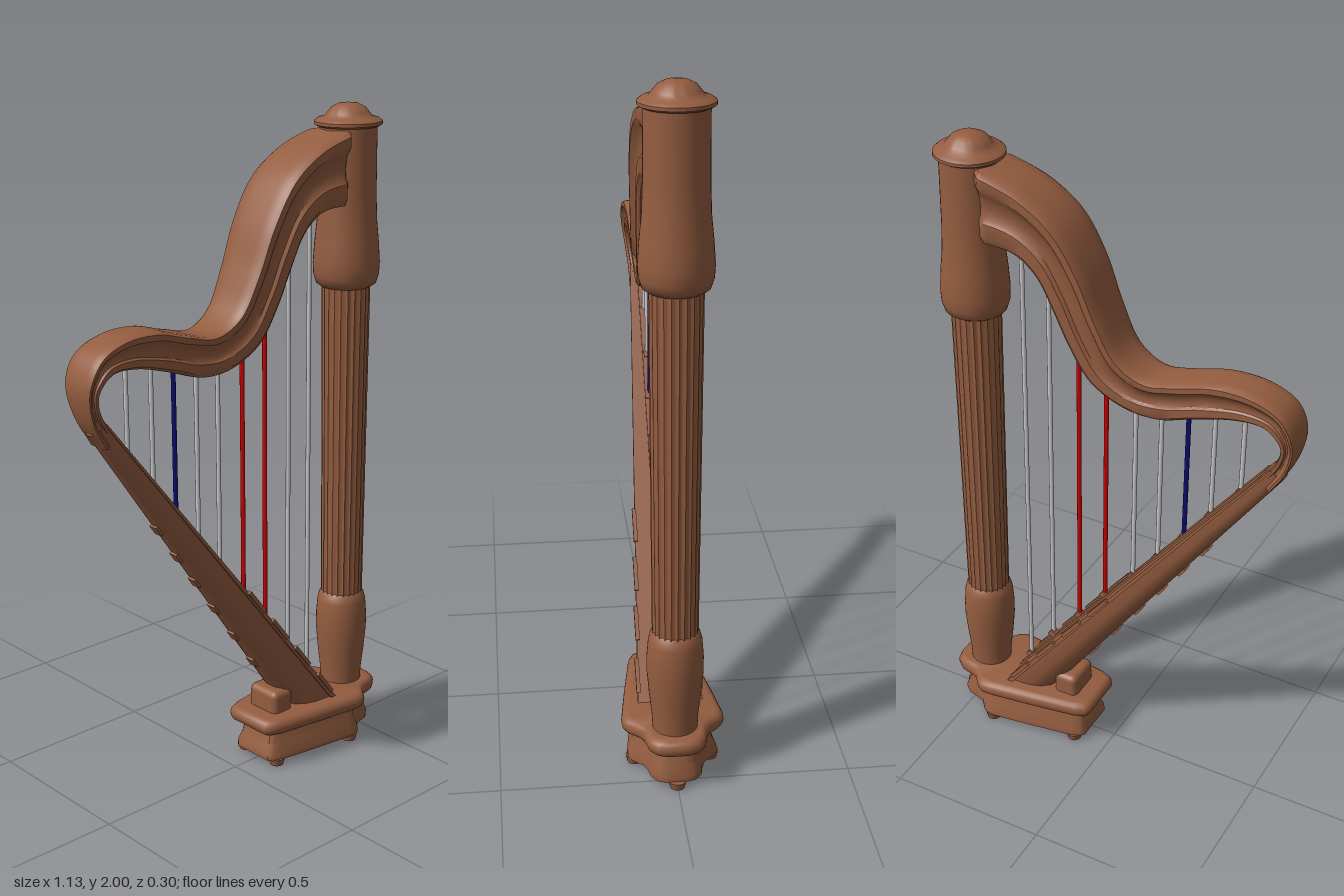
import * as THREE from 'three';
import { toCreasedNormals } from 'three/addons/utils/BufferGeometryUtils.js';
import { RoundedBoxGeometry } from 'three/addons/geometries/RoundedBoxGeometry.js';

const V = (x, y, z = 0) => new THREE.Vector3(x, y, z);
const { smoothstep } = THREE.MathUtils;
const mat = (name, color) => {
  const m = new THREE.MeshStandardMaterial({ color });
  m.name = name;
  return m;
};

// Closed skin over equal-sized rings of points, capped at both ends
function loft(rings, crease = 0.6) {
  const n = rings[0].length, pts = rings.flat(), idx = [];
  for (let r = 0; r < rings.length - 1; r++) {
    for (let i = 0; i < n; i++) {
      const a = r * n + i, b = r * n + (i + 1) % n;
      idx.push(a, b, b + n, a, b + n, a + n);
    }
  }
  [0, rings.length - 1].forEach((r, end) => {
    const c = rings[r].reduce((s, p) => s.add(p), V(0, 0)).divideScalar(n);
    pts.push(c);
    for (let i = 0; i < n; i++) {
      const a = r * n + i, b = r * n + (i + 1) % n;
      idx.push(pts.length - 1, ...(end ? [a, b] : [b, a]));
    }
  });
  // Turn all faces outward
  let volume = 0;
  for (let i = 0; i < idx.length; i += 3) {
    volume += pts[idx[i]].dot(pts[idx[i + 1]].clone().cross(pts[idx[i + 2]]));
  }
  if (volume < 0) idx.reverse();
  const g = new THREE.BufferGeometry().setFromPoints(pts);
  g.setIndex(idx);
  return toCreasedNormals(g, crease);
}

// Ring from a half profile [t, w]: t runs from point a to point b, w scales the half depth
function sideRing(a, b, half, profile) {
  const side = (s) => profile.map(([t, w]) => a.clone().lerp(b, t).setZ(s * w * half));
  return [...side(1), ...side(-1).reverse()];
}

export function createModel() {
  const harp = new THREE.Group();
  harp.name = 'harp';
  const wood = mat('wood', 0x945d40);
  const gut = mat('plain string', 0xcccccc);
  const red = mat('red string', 0xcc0000);
  const blue = mat('blue string', 0x0c0c72);
  const add = (name, geometry, material = wood, parent = harp) => {
    const m = new THREE.Mesh(geometry, material);
    m.name = name;
    parent.add(m);
    return m;
  };

  // Base: one plan outline, scaled up the height
  const half = [[0.05, 0.075], [0.06, 0.09], [0.09, 0.102], [0.25, 0.128], [0.39, 0.148], [0.415, 0.147],
    [0.435, 0.135], [0.465, 0.1], [0.49, 0.09], [0.53, 0.081], [0.555, 0.06], [0.564, 0.03]];
  const plan = [...half, ...half.map(([x, z]) => [x, -z]).reverse()];
  const planRing = ([y, sx, sz]) => plan.map(([x, z]) => V(0.312 + (x - 0.312) * sx, y, z * sz));
  add('basePlinth', loft([[0.02, 0.91, 0.88], [0.035, 0.91, 0.88], [0.07, 0.86, 0.78],
    [0.115, 0.82, 0.73]].map(planRing)));
  const rim = [];
  for (let i = 0; i <= 8; i++) {
    const a = -Math.PI / 2 + Math.PI * i / 8, s = Math.cos(a);
    rim.push([0.137 + 0.026 * Math.sin(a), 0.91 + 0.09 * s, 0.83 + 0.17 * s]);
  }
  add('baseRim', loft(rim.map(planRing), 0.8));
  for (const [x, z] of [[0.11, 0.07], [0.11, -0.07], [0.393, 0.11], [0.393, -0.11], [0.532, 0]]) {
    add('foot', new THREE.CylinderGeometry(0.026, 0.021, 0.022, 16)).position.set(x, 0.011, z);
  }
  add('baseBlock', new RoundedBoxGeometry(0.08, 0.09, 0.12, 3, 0.02)).position.set(0.15, 0.187, 0);

  // Pillar, leaning slightly toward the strings
  const pillar = new THREE.Group();
  pillar.name = 'pillar';
  pillar.position.set(0.464, 0, 0);
  pillar.rotation.z = 0.0105;
  harp.add(pillar);
  const turned = (name, pts) => add(name, toCreasedNormals(
    new THREE.LatheGeometry(pts.map(([r, y]) => new THREE.Vector2(r, y)), 40), 0.8), wood, pillar);
  turned('pillarFoot', [[0, 0.15], [0.064, 0.15], [0.066, 0.2], [0.074, 0.27], [0.08, 0.34], [0.08, 0.39],
    [0.076, 0.44], [0.071, 0.46], [0.062, 0.472], [0, 0.475]]);
  turned('pillarHead', [[0, 1.46], [0.075, 1.46], [0.09, 1.47], [0.098, 1.495], [0.1, 1.53], [0.096, 1.59],
    [0.089, 1.66], [0.086, 1.74], [0.085, 1.94], [0, 1.94]]);
  turned('pillarCap', [[0, 1.932], [0.09, 1.932], [0.1, 1.938], [0.1, 1.947], [0.09, 1.955], [0.071, 1.96],
    [0.063, 1.97], [0.05, 1.986], [0.03, 1.996], [0, 2.0]]);
  // Fluted shaft
  const flutes = 22, steps = 6, shaft = [];
  for (const [y, r] of [[0.45, 0.065], [1.48, 0.073]]) {
    shaft.push(Array.from({ length: flutes * steps }, (_, i) => {
      const a = i / (flutes * steps) * Math.PI * 2;
      const q = r - 0.004 * Math.abs(Math.sin(a * flutes / 2));
      return V(q * Math.cos(a), y, q * Math.sin(a));
    }));
  }
  add('pillarShaft', loft(shaft), wood, pillar);

  // Neck: moulded section swept between an outer and an inner edge
  const edge = (pts) => new THREE.CatmullRomCurve3(pts.map(([x, y]) => V(x, y)));
  const outer = edge([[0.4, 1.932], [0.34, 1.92], [0.24, 1.885], [0.14, 1.815], [0.065, 1.7], [0.01, 1.565],
    [-0.05, 1.455], [-0.13, 1.412], [-0.23, 1.43], [-0.34, 1.457], [-0.45, 1.45], [-0.53, 1.41],
    [-0.565, 1.335], [-0.548, 1.24], [-0.5, 1.155]]);
  const inner = edge([[0.4, 1.707], [0.34, 1.71], [0.27, 1.7], [0.205, 1.65], [0.155, 1.555], [0.11, 1.455],
    [0.045, 1.355], [-0.06, 1.3], [-0.16, 1.293], [-0.27, 1.327], [-0.4, 1.362], [-0.48, 1.36],
    [-0.522, 1.315], [-0.51, 1.255], [-0.46, 1.185]]);
  const moulding = [[0, 0.5], [0.015, 0.85], [0.06, 1], [0.2, 1], [0.27, 0.9], [0.36, 0.79], [0.5, 0.73],
    [0.62, 0.76], [0.68, 0.86], [0.9, 0.86], [0.98, 0.75], [1, 0.4]];
  const neck = [];
  for (let i = 0; i <= 84; i++) {
    const u = i / 84;
    const depth = 0.09 - 0.03 * smoothstep(u, 0.2, 0.62) - 0.023 * smoothstep(u, 0.8, 0.98)
      - 0.03 * (1 - smoothstep(u, 0, 0.05));
    neck.push(sideRing(outer.getPoint(u), inner.getPoint(u), depth, moulding));
  }
  add('neck', loft(neck));

  // Soundbox: tapering body with a rounded back, under a wider board
  const topA = V(-0.495, 1.228), topB = V(-0.531, 1.196), botA = V(0.355, 0.15), botB = V(0.205, 0.15);
  const halfDepth = (u) => 0.035 + 0.06 * u;
  const bar = (profile) => loft([0, 1].map((u) => sideRing(
    topA.clone().lerp(botA, u), topB.clone().lerp(botB, u), halfDepth(u), profile)), 0.7);
  add('soundbox', bar([[0.1, 0.5], [0.1, 0.9], [0.5, 0.85], [0.75, 0.72], [0.92, 0.5], [1, 0.2]]));
  add('soundboard', bar([[0, 0.5], [0, 1], [0.13, 1], [0.13, 0.5]]));
  const tilt = Math.atan2(botA.y - topA.y, botA.x - topA.x);
  const backTilt = Math.atan2(botB.y - topB.y, botB.x - topB.x);
  const strip = add('stringStrip', new THREE.BoxGeometry(1.32, 0.012, 0.03));
  strip.position.copy(topA).lerp(botA, 0.5);
  strip.rotation.z = tilt;

  // Strings with their pegs, edge blocks and back plates: top x, top y, bottom y
  const strings = [[-0.403, 1.38, 1.105], [-0.315, 1.36, 0.995], [-0.234, 1.33, 0.89], [-0.151, 1.31, 0.785],
    [-0.07, 1.32, 0.685], [0.024, 1.37, 0.575], [0.112, 1.48, 0.46], [0.206, 1.68, 0.345], [0.29, 1.72, 0.225]];
  strings.forEach(([x, y0, y1], i) => {
    const top = V(x, y0), foot = V(x + 0.011 * (y0 - y1), y1);
    const colour = i === 2 ? blue : i === 5 || i === 6 ? red : gut;
    add('string', new THREE.TubeGeometry(new THREE.LineCurve3(top, foot), 1, 0.007, 10), colour);
    const peg = add('stringPeg', new THREE.BoxGeometry(0.022, 0.022, 0.022));
    peg.position.copy(foot);
    peg.rotation.z = tilt;
    const u = (topA.y - y1) / (topA.y - botA.y);
    if (i > 4) {
      for (const s of [1, -1]) {
        const block = add('edgeBlock', new THREE.BoxGeometry(0.1, 0.012, 0.012));
        block.position.copy(topA).lerp(botA, u).setZ(s * halfDepth(u));
        block.rotation.z = tilt;
      }
    }
    if (i > 1 && i < 8) {
      const plate = add('backPlate', new THREE.BoxGeometry(0.035, 0.014, 0.03));
      plate.position.copy(topB).lerp(botB, u);
      plate.rotation.z = backTilt;
    }
  });
  return harp;
}
